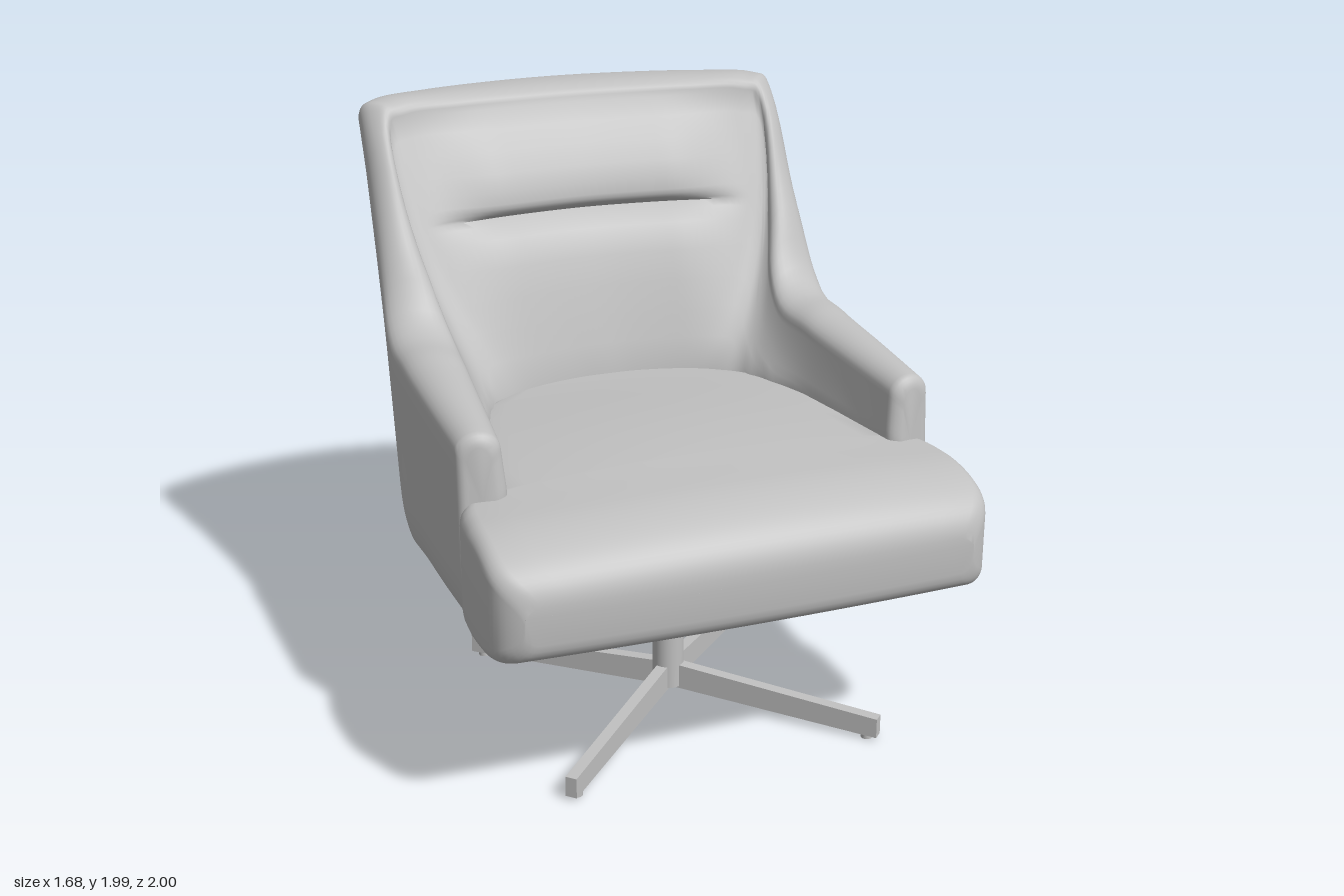
import * as THREE from 'three';
import { toCreasedNormals } from 'three/addons/utils/BufferGeometryUtils.js';

const { lerp, clamp, smoothstep } = THREE.MathUtils;
const BOTTOM = 0.575;

// Skin a list of closed rings, fan the two ends and face everything outward.
function loft(rings, crease) {
  const n = rings[0].length, pos = [], idx = [];
  for (const ring of rings) for (const p of ring) pos.push(p.x, p.y, p.z);
  for (let i = 0; i < rings.length - 1; i++) {
    for (let j = 0; j < n; j++) {
      const a = i * n + j, b = i * n + (j + 1) % n;
      idx.push(a, b, a + n, b, b + n, a + n);
    }
  }
  [0, rings.length - 1].forEach((r, end) => {
    const c = new THREE.Vector3();
    rings[r].forEach(p => c.addScaledVector(p, 1 / n));
    const k = pos.length / 3;
    pos.push(c.x, c.y, c.z);
    for (let j = 0; j < n; j++) {
      const a = r * n + j, b = r * n + (j + 1) % n;
      idx.push(k, end ? a : b, end ? b : a);
    }
  });
  // Signed volume tells whether the winding points inward
  let volume = 0;
  const at = i => new THREE.Vector3().fromArray(pos, i * 3);
  for (let i = 0; i < idx.length; i += 3) volume += at(idx[i]).dot(at(idx[i + 1]).cross(at(idx[i + 2])));
  if (volume < 0) idx.reverse();
  const g = new THREE.BufferGeometry();
  g.setAttribute('position', new THREE.Float32BufferAttribute(pos, 3));
  g.setIndex(idx);
  return toCreasedNormals(g, crease);
}

// Piecewise linear lookup in [[key, value], ...]
function lookup(table, k) {
  for (let i = 1; i < table.length; i++) {
    const [k0, v0] = table[i - 1], [k1, v1] = table[i];
    if (k <= k1) return lerp(v0, v1, clamp((k - k0) / (k1 - k0), 0, 1));
  }
  return table[table.length - 1][1];
}

// Stations from arm front to middle of the back, as x z pairs:
// outer foot, outer top, inner at y 1, inner at y 1.4, inner at y 2, then the height
const STATIONS = [
  [0.82, 0.52, 0.815, 0.44, 0.66, 0.52, 0.69, 0.48, 0.7, 0.44, 1.195],
  [0.825, 0.25, 0.82, 0.1, 0.61, 0.25, 0.68, 0.19, 0.7, 0.12, 1.225],
  [0.825, 0.03, 0.82, -0.28, 0.57, 0.03, 0.66, -0.09, 0.7, -0.24, 1.255],
  [0.83, -0.11, 0.805, -0.56, 0.52, -0.12, 0.65, -0.35, 0.72, -0.54, 1.305],
  [0.825, -0.16, 0.785, -0.69, 0.47, -0.23, 0.64, -0.425, 0.72, -0.64, 1.6],
  [0.79, -0.2, 0.785, -0.77, 0.41, -0.285, 0.6, -0.45, 0.71, -0.69, 1.93],
  [0.71, -0.28, 0.755, -0.84, 0.33, -0.328, 0.51, -0.465, 0.64, -0.71, 1.985],
  [0.5, -0.42, 0.55, -0.935, 0.22, -0.36, 0.34, -0.5, 0.44, -0.74, 1.99],
  [0.25, -0.515, 0.28, -1.005, 0.1, -0.378, 0.17, -0.525, 0.22, -0.76, 1.99],
  [0, -0.545, 0, -1.03, 0, -0.38, 0, -0.535, 0, -0.77, 1.99],
];

// Forward swell of the back cushion and head pillow, with the crease between
const SWELL = [[1.0, 0], [1.2, 0.025], [1.4, 0.045], [1.5, 0.045], [1.55, 0.015], [1.565, -0.01],
  [1.575, 0.01], [1.6, 0.04], [1.65, 0.055], [1.75, 0.055], [1.85, 0.035], [1.93, 0], [2, -0.03]];
const INNER_ROWS = [1, 0.94, 0.87, 0.8, 0.74, 0.7, 0.685, 0.67, 0.66, 0.65, 0.63, 0.59, 0.5, 0.4, 0.3, 0.2, 0.1, 0];

function shellGeometry() {
  const mirrored = STATIONS.slice(0, -1).reverse()
    .map(s => s.map((v, i) => (i < 10 && i % 2 === 0 ? -v : v)));
  const all = [...STATIONS, ...mirrored];
  const [foot, top, inner, innerMid, innerTop] = [0, 2, 4, 6, 8].map(c => new THREE.CatmullRomCurve3(
    all.map(s => new THREE.Vector3(s[c], s[10], s[c + 1])), false, 'catmullrom', 0.5));

  const section = t => {
    const f = foot.getPoint(t), o = top.getPoint(t);
    const a = inner.getPoint(t), m = innerMid.getPoint(t), b = innerTop.getPoint(t);
    const H = f.y, back = smoothstep(-f.z, 0.1, 0.45);
    // Wings have a fuller roll than the arms and the top rail
    const r = 0.065 + 0.06 * smoothstep(H, 1.3, 1.5) * (1 - smoothstep(H, 1.8, 1.98));
    const soft = lerp(1, 0.8, smoothstep(H, 1.7, 1.98));
    const outer = y => {
      const k = (y - BOTTOM) / (2 - BOTTOM), q = clamp((0.76 - y) / 0.185, 0, 1) ** 2.6;
      const p = new THREE.Vector3(lerp(f.x, o.x, k), y, lerp(f.z, o.z, k));
      p.x *= 1 - 0.03 * q;
      p.z += 0.07 * back * q;
      return p;
    };
    // Parabola through the three inner points
    const innerAt = y => {
      const k = Math.max(0, y - 1);
      const p = new THREE.Vector3()
        .addScaledVector(a, (k - 0.4) * (k - 1) / 0.4)
        .addScaledVector(m, k * (1 - k) / 0.24)
        .addScaledVector(b, k * (k - 0.4) / 0.6);
      p.y = y;
      p.z += lookup(SWELL, y) * (1 - smoothstep(Math.abs(p.x), 0.3, 0.62));
      return p;
    };
    const ring = [];
    for (let i = 0; i <= 6; i++) ring.push(outer(BOTTOM + 0.185 * (i / 6) ** 1.6));
    for (let i = 1; i <= 8; i++) ring.push(outer(lerp(0.76, H - r, i / 8)));
    // Rolled top edge
    const A = outer(H - r), B = innerAt(H - r);
    for (let i = 1; i < 14; i++) {
      const c = Math.cos(i / 14 * Math.PI), s = Math.sin(i / 14 * Math.PI);
      const p = B.clone().lerp(A, 0.5 + 0.5 * Math.sign(c) * Math.abs(c) ** soft);
      p.y = H - r + r * s ** soft;
      ring.push(p);
    }
    for (const k of INNER_ROWS) ring.push(innerAt(lerp(0.9, H - r, k)));
    ring.push(innerAt(BOTTOM));
    return ring;
  };

  // Rounded front end of an arm
  const armEnd = (ring, angle) => {
    const s = Math.sin(angle), c = 1 - Math.cos(angle), mid = Math.sign(ring[0].x) * 0.755;
    return ring.map(p => new THREE.Vector3(
      lerp(p.x, mid, 0.55 * c), lerp(p.y, BOTTOM, 0.08 * c), p.z + 0.035 * s));
  };
  const rings = [], N = 108, angles = [0.3, 0.6, 0.9, 1.2, 1.45];
  for (let i = 0; i <= N; i++) rings.push(section(i / N));
  const first = rings[0], last = rings[N];
  for (const angle of angles) {
    rings.unshift(armEnd(first, angle));
    rings.push(armEnd(last, angle));
  }
  return loft(rings, 1.1);
}

// Half width of the seat by z: tucked into the shell, then the full-width front
const SEAT_WIDTH = [[-0.44, 0.14], [-0.41, 0.24], [-0.38, 0.31], [-0.34, 0.4], [-0.28, 0.47], [-0.22, 0.54],
  [-0.1, 0.6], [0.05, 0.64], [0.25, 0.68], [0.49, 0.72], [0.5, 0.79], [0.535, 0.818], [0.56, 0.826],
  [0.6, 0.833], [0.66, 0.838]];

function seatGeometry() {
  // Rounded section: flat-sided loop with a crowned top
  const section = (z, W, low, high, crown, bow) => {
    const ring = [], r = Math.min(0.05, (high - low) / 2);
    const add = (x, y) => {
      const u = x / 0.84, up = clamp((y - low) / Math.max(high - low, 1e-4), 0, 1);
      ring.push(new THREE.Vector3(x, y + crown * up * (1 - u * u), z - bow * u * u));
    };
    const corner = (cx, cy, start) => {
      for (let i = 0; i <= 6; i++) {
        const a = start + i / 6 * Math.PI / 2;
        add(cx + r * Math.cos(a), cy + r * Math.sin(a));
      }
    };
    const X = W - r;
    corner(X, high - r, 0);
    for (let i = 1; i < 16; i++) add(lerp(X, -X, i / 16), high);
    corner(-X, high - r, Math.PI / 2);
    corner(-X, low + r, Math.PI);
    for (let i = 1; i < 16; i++) add(lerp(-X, X, i / 16), low);
    corner(X, low + r, Math.PI * 1.5);
    return ring;
  };
  const rings = SEAT_WIDTH.map(([z, w]) => section(z, w, BOTTOM, 0.965,
    lerp(0.035, 0.06, smoothstep(z, -0.4, 0.2)) - 0.022 * smoothstep(z, 0.35, 0.7), 0));
  // Rolled front edge
  for (let i = 1; i <= 18; i++) {
    const a = i / 18 * Math.PI / 2, s = Math.sin(a), c = Math.max(Math.cos(a), 0);
    const W = 0.84 - 0.09 * s ** 8, h = c ** 0.8;
    rings.push(section(0.66 + 0.338 * s, W, 0.775 - 0.2 * c ** 0.3, 0.775 + 0.19 * h, 0.037 * h, 0.025 * s));
  }
  return loft(rings, 1.0);
}

// Beam along +x, tapering and dropping towards its tip
function legGeometry(length) {
  const g = new THREE.BoxGeometry(length, 1, 0.04);
  const p = g.attributes.position;
  for (let i = 0; i < p.count; i++) {
    const tip = p.getX(i) > 0, up = p.getY(i) > 0;
    p.setX(i, tip ? length : 0);
    p.setY(i, tip ? (up ? 0.082 : 0.012) : (up ? 0.135 : 0.045));
  }
  g.computeVertexNormals();
  return g;
}

export function createModel() {
  const grey = new THREE.MeshStandardMaterial({ color: 0xc0c0c0 });
  grey.name = 'plain grey';
  const model = new THREE.Group();
  model.name = 'loungeChair';
  const add = (parent, name, geometry, x = 0, y = 0, z = 0) => {
    const mesh = new THREE.Mesh(geometry, grey);
    mesh.name = name;
    mesh.position.set(x, y, z);
    parent.add(mesh);
  };

  add(model, 'backAndArms', shellGeometry());
  add(model, 'seatCushion', seatGeometry());

  // Swivel base
  const base = new THREE.Group();
  base.name = 'base';
  base.position.z = 0.225;
  model.add(base);
  add(base, 'column', new THREE.CylinderGeometry(0.055, 0.055, 0.55, 32), 0, 0.325);
  for (let i = 0; i < 4; i++) {
    const leg = new THREE.Group();
    leg.name = 'leg' + (i + 1);
    leg.rotation.y = Math.PI / 4 + i * Math.PI / 2;
    base.add(leg);
    add(leg, 'legBeam', legGeometry(0.775));
    add(leg, 'footPad', new THREE.CylinderGeometry(0.02, 0.02, 0.03, 16), 0.735, 0.015);
  }
  return model;
}
